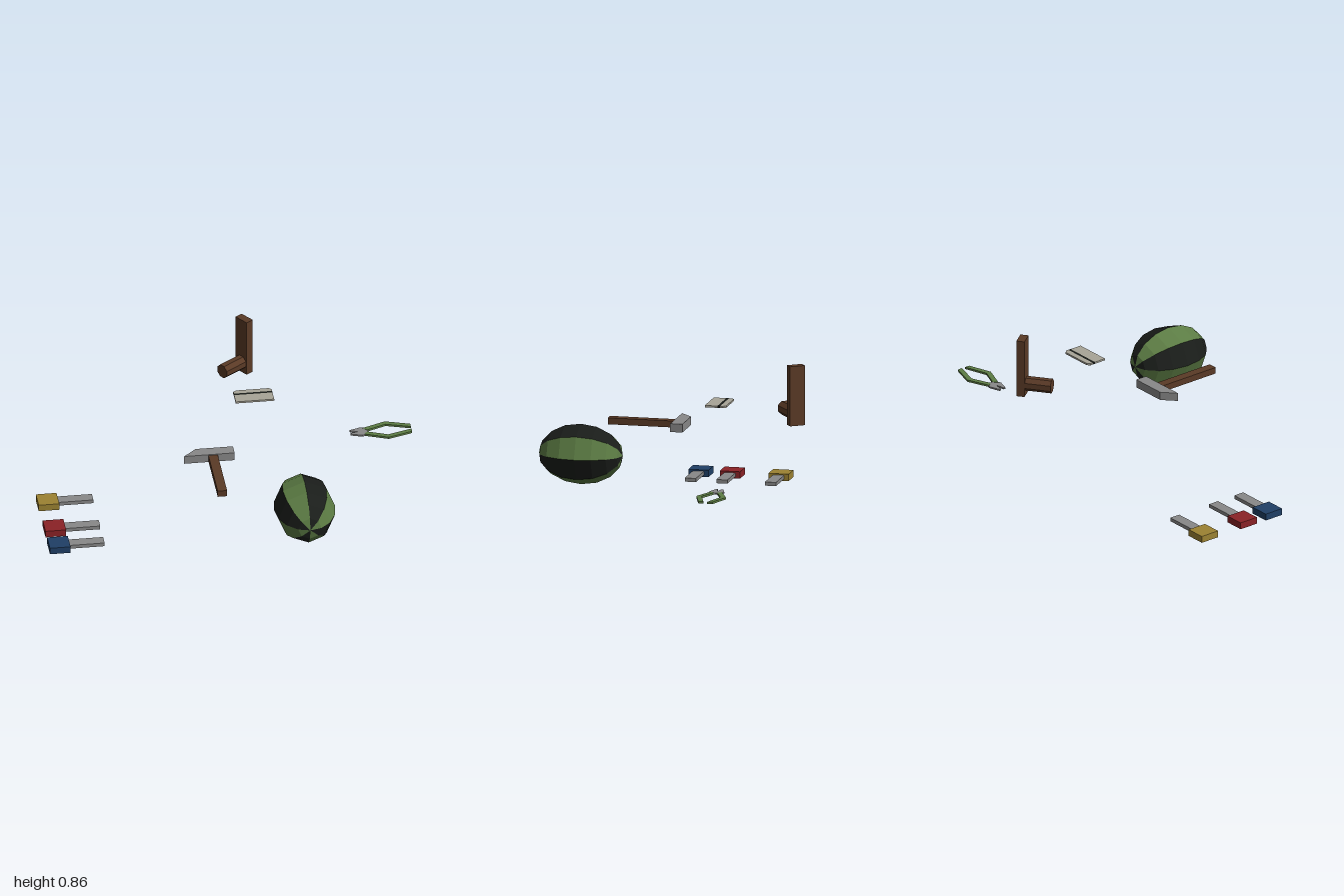
import * as THREE from 'three';

const METAL = 0x888888, WOOD = 0x5a3a26, GREEN = 0x5c7c44, BLACK = 0x1a1d1a, PALE = 0xa8a598;

function part(name, geometry, color) {
  const material = new THREE.MeshStandardMaterial({ color, flatShading: true });
  const mesh = new THREE.Mesh(geometry, material);
  mesh.name = name;
  return mesh;
}

// Box given by its minimum and maximum corners
function box(name, [x0, y0, z0], [x1, y1, z1], color) {
  const g = new THREE.BoxGeometry(x1 - x0, y1 - y0, z1 - z0);
  g.translate((x0 + x1) / 2, (y0 + y1) / 2, (z0 + z1) / 2);
  return part(name, g, color);
}

// Plan outline in (x, z), raised from y0 to y1
function slab(name, outline, y0, y1, color) {
  const shape = new THREE.Shape(outline.map(([x, z]) => new THREE.Vector2(x, -z)));
  const g = new THREE.ExtrudeGeometry(shape, { depth: y1 - y0, bevelEnabled: false });
  g.rotateX(-Math.PI / 2).translate(0, y0, 0);
  return part(name, g, color);
}

function group(name, ...children) {
  const g = new THREE.Group();
  g.name = name;
  if (children.length) g.add(...children);
  return g;
}

// Block handle with a flat metal blade
function makeKey(name, z, color) {
  return group(name,
    box('keyHandle', [-1, 0, z - 0.055], [-0.89, 0.037, z + 0.055], color),
    box('keyBlade', [-0.89, 0.01, z - 0.03], [-0.705, 0.03, z + 0.03], METAL));
}

function makeHammer() {
  return group('hammer',
    slab('hammerHead', [[0, 0], [-0.2, 0], [-0.27, 0.066], [0, 0.066]], 0.43, 0.475, METAL),
    box('hammerHandle', [-0.14, 0.435, 0.066], [-0.09, 0.47, 0.426], WOOD));
}

// Eight striped wedges around the z axis
function makeMelon() {
  const melon = group('melon');
  const profile = [];
  for (let i = 0; i <= 8; i++) {
    const a = (i / 8) * Math.PI;
    profile.push(new THREE.Vector2(0.163 * Math.sin(a), -0.227 * Math.cos(a)));
  }
  for (let i = 0; i < 8; i++) {
    const g = new THREE.LatheGeometry(profile, 1, (i * Math.PI) / 4, Math.PI / 4);
    g.rotateX(Math.PI / 2);
    melon.add(part('melonStripe', g, i % 2 ? BLACK : GREEN));
  }
  melon.position.set(0.316, 0.357, 0.475);
  return melon;
}

// Mirrored arms and jaws about the line z = mid
function makePliers() {
  const pliers = group('pliers');
  const mid = -0.363;
  const arm = [[0.745, 0.03], [0.87, 0.08], [1, 0.038], [1, 0.01], [0.87, 0.051], [0.765, 0.008]];
  const jaw = [[0.675, 0.02], [0.735, 0.04], [0.752, 0.033], [0.772, 0.01], [0.765, 0], [0.725, 0], [0.675, 0.01]];
  for (const side of [-1, 1]) {
    const place = (pts) => pts.map(([x, d]) => [x, mid + side * d]);
    pliers.add(slab('plierArm', place(arm), 0.273, 0.284, GREEN));
    pliers.add(slab('plierJaw', place(jaw), 0.274, 0.283, METAL));
  }
  return pliers;
}

// Thin plate with a dark slot and clipped back corners
function makePlate() {
  const y0 = 0.627, y1 = 0.637;
  const back = [[0.04, -0.263], [0.04, -0.28], [0.055, -0.293], [0.23, -0.293], [0.245, -0.28], [0.245, -0.263]];
  return group('slottedPlate',
    box('plateFront', [0.04, y0, -0.18], [0.245, y1, -0.248].map((v) => v), PALE),
    box('plateSlot', [0.04, y0, -0.263], [0.245, y1, -0.248], BLACK),
    slab('plateBack', back, y0, y1, PALE));
}

// Upright wooden bar with an eight-sided grip at its foot
function makeHandle() {
  const bar = part('handleBar', new THREE.BoxGeometry(0.044, 0.322, 0.084), WOOD);
  bar.position.y = 0.696;
  const g = new THREE.CylinderGeometry(0.039, 0.039, 0.162, 8);
  g.rotateY(Math.PI / 8).rotateZ(Math.PI / 2);
  const grip = part('handleGrip', g, WOOD);
  grip.position.set(-0.081, 0.597, 0);
  const handle = group('woodenHandle', bar, grip);
  handle.position.set(0.15, 0, -0.652);
  handle.rotation.y = 0.63;
  return handle;
}

export function createModel() {
  const model = group('toolSet',
    makeKey('blueKey', 0.125, 0x1f3f66),
    makeKey('redKey', -0.046, 0x8a2226),
    makeKey('yellowKey', -0.31, 0x9c8232),
    makeHammer(), makeMelon(), makePliers(), makePlate(), makeHandle());
  // Front strip is listed front-to-back, so rebuild it with ordered corners
  const plate = model.getObjectByName('slottedPlate');
  plate.remove(plate.getObjectByName('plateFront'));
  plate.add(box('plateFront', [0.04, 0.627, -0.248], [0.245, 0.637, -0.18], PALE));
  return model;
}
